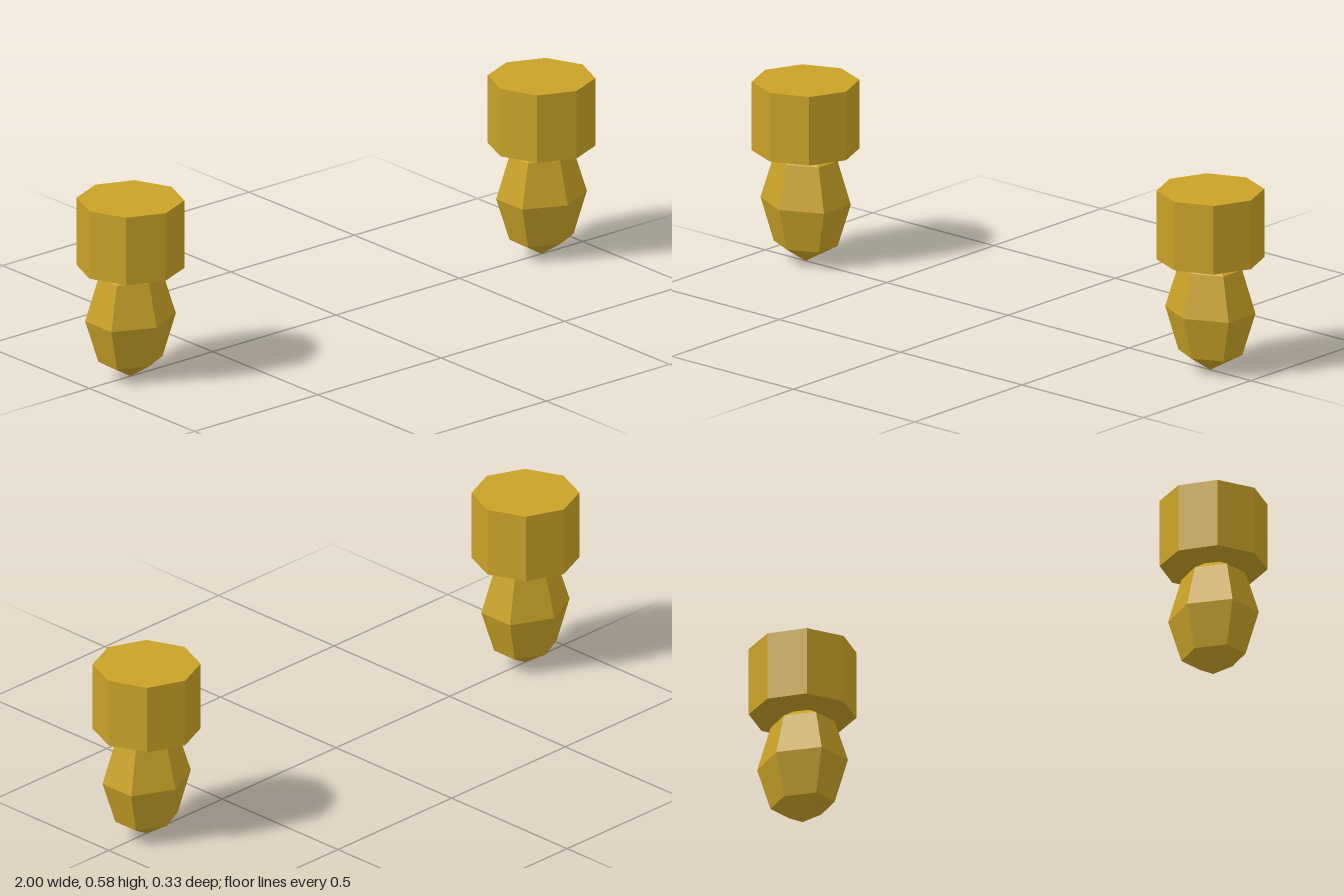
import * as THREE from 'three';

export function createModel() {
  const model = new THREE.Group();
  model.name = 'pegPair';
  const gold = new THREE.MeshStandardMaterial({ color: 0xc9a227, flatShading: true });
  gold.name = 'gold';

  // Octagonal cap with corners on the axes
  const capGeometry = new THREE.CylinderGeometry(0.1667, 0.1667, 0.2222, 8);
  // Six-sided faceted bulb, slightly wider in x, with corners facing front and back
  const bulbGeometry = new THREE.SphereGeometry(1, 6, 4);
  bulbGeometry.rotateY(Math.PI / 2);
  bulbGeometry.scale(0.151, 0.1944, 0.125);

  for (const [side, sign] of [['left', 1], ['right', -1]]) {
    const peg = new THREE.Group();
    peg.name = side + 'Peg';
    peg.position.x = sign * 0.8333;

    const cap = new THREE.Mesh(capGeometry, gold);
    cap.name = side + 'Cap';
    cap.position.y = 0.4722;

    const bulb = new THREE.Mesh(bulbGeometry, gold);
    bulb.name = side + 'Bulb';
    bulb.position.y = 0.1944;

    peg.add(cap, bulb);
    model.add(peg);
  }
  return model;
}
